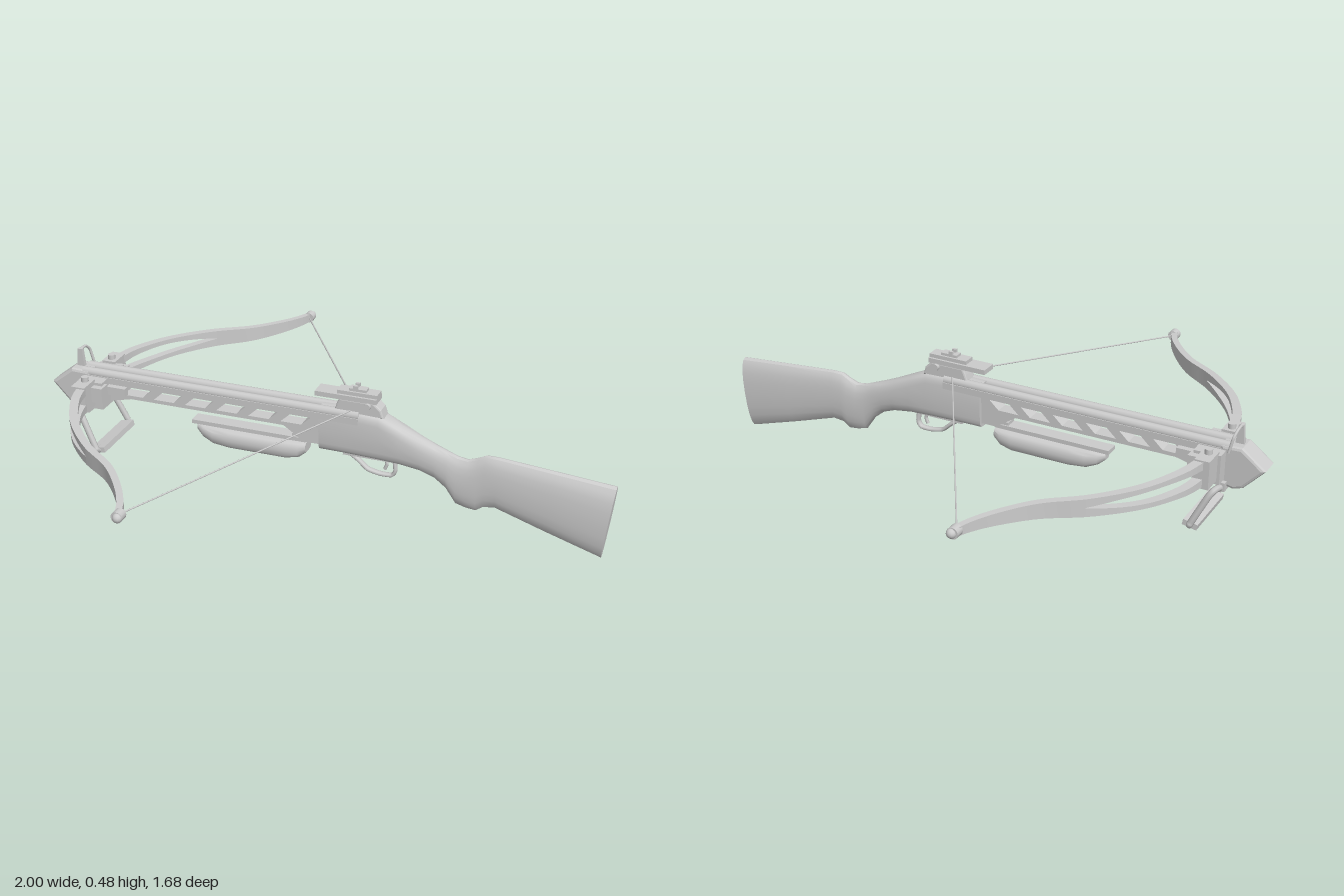
import * as THREE from 'three';
import { toCreasedNormals } from 'three/addons/utils/BufferGeometryUtils.js';

const material = new THREE.MeshStandardMaterial({ color: 0xcccccc, side: THREE.DoubleSide });
const V = (x, y, z) => new THREE.Vector3(x, y, z);

function add(parent, name, geometry, x = 0, y = 0, z = 0) {
  const mesh = new THREE.Mesh(geometry, material);
  mesh.name = name;
  mesh.position.set(x, y, z);
  parent.add(mesh);
  return mesh;
}

// Box given by its limits, centred on z unless told otherwise
function box(parent, name, x0, x1, y0, y1, width, z = 0) {
  return add(parent, name, new THREE.BoxGeometry(x1 - x0, y1 - y0, width), (x0 + x1) / 2, (y0 + y1) / 2, z);
}

// Skin over equal-length rings of points, closed at both ends
function loft(rings, crease = 0.6) {
  const n = rings[0].length, index = [], last = (rings.length - 1) * n;
  for (let i = 0; i < rings.length - 1; i++) {
    for (let j = 0; j < n; j++) {
      const a = i * n + j, b = i * n + (j + 1) % n;
      index.push(a, b, b + n, a, b + n, a + n);
    }
  }
  for (let j = 1; j < n - 1; j++) index.push(0, j + 1, j, last, last + j, last + j + 1);
  const g = new THREE.BufferGeometry().setFromPoints(rings.flat());
  g.setIndex(index);
  return toCreasedNormals(g, crease);
}

// Rounded section across x; power < 1 squares it off, lean shifts the lower edge in x
function section([x, low, high, half, power = 0.7, lean = 0], n = 20) {
  return Array.from({ length: n }, (_, i) => {
    const a = (i / n) * Math.PI * 2, c = Math.cos(a), s = Math.sin(a);
    const cy = Math.sign(c) * Math.abs(c) ** power, sz = Math.sign(s) * Math.abs(s) ** power;
    return V(x + lean * (1 - cy) / 2, (low + high) / 2 + cy * (high - low) / 2, sz * half);
  });
}

// Side outline extruded across z
function plate(points, width, holes = [], bevel = 0) {
  const shape = new THREE.Shape(points.map(p => new THREE.Vector2(...p)));
  holes.forEach(h => shape.holes.push(new THREE.Path(h.map(p => new THREE.Vector2(...p)))));
  const depth = width - 2 * bevel;
  return new THREE.ExtrudeGeometry(shape, {
    depth, bevelEnabled: bevel > 0, bevelSize: bevel, bevelThickness: bevel, bevelOffset: -bevel, bevelSegments: 2,
  }).translate(0, 0, -depth / 2);
}

function tube(points, radius, sides = 8, tension = 0.3) {
  const curve = new THREE.CatmullRomCurve3(points, false, 'catmullrom', tension);
  return new THREE.TubeGeometry(curve, points.length * 6, radius, sides);
}

// Limb band: follows the bow curve between two height rules, in local y
function limbBand(curve, z0, z1, low, high) {
  const rings = [];
  for (let i = 0; i <= 20; i++) {
    const z = THREE.MathUtils.lerp(z0, z1, i / 20), t = (z - 0.09) / 0.73;
    const p = curve(z), q = curve(z + 0.005);
    const dx = (q - p) / 0.005, len = Math.hypot(dx, 1);
    const th = 0.016 - 0.006 * t, nx = th / len, nz = -dx * th / len;
    rings.push([[1, low], [1, high], [-1, high], [-1, low]].map(([s, f]) => V(p + s * nx, f(z), z + s * nz)));
  }
  return loft(rings, 0.5);
}

// Straight interpolation through [position, value] pairs, eased into a curve
function rule(pairs) {
  const pts = pairs.map(([z, v]) => new THREE.Vector2(z, v));
  const line = new THREE.SplineCurve(pts).getPoints(160);
  return z => {
    let i = line.findIndex(p => p.x >= z);
    if (i < 0) i = line.length - 1;
    i = Math.max(1, i);
    const a = line[i - 1], b = line[i];
    return a.y + (b.y - a.y) * (z - a.x) / (b.x - a.x);
  };
}

export function createModel() {
  const model = new THREE.Group();
  model.name = 'crossbow';

  // Stock: receiver, wrist, pistol grip and butt
  add(model, 'stock', loft([
    [0, 0.235, 0.395, 0.036, 0.4], [0.1, 0.235, 0.397, 0.039, 0.4], [0.21, 0.232, 0.393, 0.043, 0.45],
    [0.28, 0.225, 0.362, 0.041, 0.6], [0.35, 0.212, 0.33, 0.036, 0.75], [0.4, 0.192, 0.31, 0.031, 0.85],
    [0.44, 0.16, 0.295, 0.028, 0.85], [0.475, 0.108, 0.282, 0.027, 0.85], [0.51, 0.098, 0.277, 0.027, 0.85],
    [0.545, 0.094, 0.29, 0.027, 0.85], [0.57, 0.112, 0.303, 0.027, 0.85], [0.61, 0.117, 0.303, 0.028, 0.85],
    [0.8, 0.06, 0.287, 0.032, 0.85, -0.015], [1, 0.003, 0.27, 0.036, 0.85, -0.03],
  ].map(r => section(r))));

  // Barrel: flat bed with two round rails and a groove between
  box(model, 'barrelBed', -0.88, 0.14, 0.355, 0.378, 0.082);
  for (const s of [-1, 1]) {
    const rail = add(model, 'barrelRail', new THREE.CylinderGeometry(0.016, 0.016, 1.02, 12).rotateZ(Math.PI / 2), -0.37, 0.382, s * 0.023);
    rail.scale.y = 1.1;
  }

  // Fore-end frame with slanted windows
  const windows = [];
  for (let i = 0; i < 6; i++) {
    const x = -0.73 + i * 0.118;
    windows.push([[x, 0.315], [x + 0.075, 0.315], [x + 0.115, 0.352], [x + 0.04, 0.352]]);
  }
  add(model, 'foreEndFrame', plate([
    [-0.9, 0.36], [-0.9, 0.25], [-0.83, 0.25], [-0.77, 0.285], [-0.7, 0.302], [-0.13, 0.302],
    [-0.07, 0.262], [0.01, 0.25], [0.01, 0.36],
  ], 0.05, windows));

  // Foregrip hanging below, with its mounting strip
  add(model, 'foregrip', loft([
    [-0.455, 0.222, 0.246, 0.016], [-0.43, 0.2, 0.247, 0.03], [-0.39, 0.182, 0.247, 0.039],
    [-0.33, 0.176, 0.247, 0.043], [-0.12, 0.176, 0.247, 0.043], [-0.075, 0.187, 0.247, 0.039], [-0.05, 0.208, 0.246, 0.03],
  ].map(r => section(r, 16))));
  box(model, 'foregripStrip', -0.47, -0.05, 0.25, 0.264, 0.05);
  box(model, 'foregripNeck', -0.4, -0.08, 0.24, 0.253, 0.035);
  box(model, 'foregripMount', -0.1, 0.02, 0.25, 0.275, 0.04);

  // Pointed nose
  add(model, 'nose', plate([
    [-1, 0.33], [-0.93, 0.255], [-0.9, 0.245], [-0.85, 0.255], [-0.85, 0.39], [-0.92, 0.392],
  ], 0.084, [], 0.01));
  // Front sight post and its curved guard
  add(model, 'frontSight', plate([[-0.915, 0.385], [-0.885, 0.385], [-0.892, 0.455], [-0.908, 0.455]], 0.014));
  add(model, 'frontSightGuard', tube([V(-0.9, 0.452, 0), V(-0.9, 0.45, -0.035), V(-0.895, 0.43, -0.055), V(-0.885, 0.38, -0.062)], 0.005));

  // Riser holding the limbs
  box(model, 'riserCore', -0.87, -0.78, 0.275, 0.375, 0.17);
  for (const s of [-1, 1]) {
    box(model, 'limbPocket', -0.86, -0.81, 0.287, 0.383, 0.08, s * 0.115);
    box(model, 'limbClamp', -0.82, -0.77, 0.31, 0.365, 0.045, s * 0.085);
    box(model, 'riserBrace', -0.8, -0.71, 0.32, 0.35, 0.025, s * 0.04);
    add(model, 'limbBolt', new THREE.CylinderGeometry(0.013, 0.013, 0.02, 12), -0.835, 0.39, s * 0.1);
  }

  // Recurved limbs, split into two bands near the riser
  const sweep = rule([[0.08, -0.835], [0.15, -0.825], [0.24, -0.8], [0.37, -0.73], [0.49, -0.62], [0.58, -0.5], [0.68, -0.415], [0.77, -0.362], [0.84, -0.343]]);
  const height = rule([[0.08, 0.042], [0.2, 0.042], [0.4, 0.034], [0.6, 0.025], [0.84, 0.012]]);
  const slot = rule([[0.08, 0.01], [0.2, 0.019], [0.32, 0.021], [0.42, 0.014], [0.5, 0.001]]);
  for (const s of [1, -1]) {
    const limb = new THREE.Group();
    limb.name = s > 0 ? 'frontLimb' : 'backLimb';
    limb.position.y = 0.335;
    limb.rotation.x = s > 0 ? 0 : Math.PI;
    add(limb, 'upperBand', limbBand(sweep, 0.09, 0.5, slot, height));
    add(limb, 'lowerBand', limbBand(sweep, 0.09, 0.5, z => -height(z), z => -slot(z)));
    add(limb, 'outerLimb', limbBand(sweep, 0.5, 0.82, z => -height(z), height));
    add(limb, 'limbTip', new THREE.CylinderGeometry(0.019, 0.019, 0.03, 12).rotateX(Math.PI / 2), -0.348, 0, 0.808);
    add(limb, 'tipCap', new THREE.SphereGeometry(0.016, 12, 8), -0.345, 0, 0.822);
    model.add(limb);
  }

  // Drawn string
  add(model, 'string', tube([V(-0.35, 0.335, 0.8), V(0.105, 0.398, 0.035), V(0.125, 0.4, 0), V(0.105, 0.398, -0.035), V(-0.35, 0.335, -0.8)], 0.0028, 6, 0));

  // Foot stirrup
  add(model, 'stirrup', tube([
    V(-0.865, 0.25, 0.05), V(-0.862, 0.262, 0.1), V(-0.845, 0.235, 0.112), V(-0.8, 0.14, 0.122), V(-0.795, 0.128, 0.11),
    V(-0.795, 0.128, -0.11), V(-0.8, 0.14, -0.122), V(-0.845, 0.235, -0.112), V(-0.862, 0.262, -0.1), V(-0.865, 0.25, -0.05),
  ], 0.011));
  box(model, 'stirrupTread', -0.82, -0.77, 0.118, 0.138, 0.23).rotation.z = 0.2;
  box(model, 'stirrupMount', -0.88, -0.85, 0.24, 0.27, 0.12);

  // Rear sight and its rail
  add(model, 'sightBase', plate([[0.05, 0.385], [0.225, 0.385], [0.215, 0.415], [0.19, 0.438], [0.07, 0.438], [0.06, 0.415]], 0.056, [], 0.006));
  box(model, 'sightRail', -0.015, 0.2, 0.435, 0.452, 0.06);
  box(model, 'sightBody', 0.06, 0.2, 0.45, 0.465, 0.044);
  box(model, 'sightLeaf', 0.1, 0.16, 0.463, 0.474, 0.03);
  for (const s of [-1, 1]) box(model, 'sightEar', 0.115, 0.13, 0.47, 0.485, 0.01, s * 0.012);
  add(model, 'sightKnob', new THREE.CylinderGeometry(0.012, 0.012, 0.08, 12).rotateX(Math.PI / 2), 0.17, 0.425, 0);

  // Trigger and guard
  add(model, 'triggerGuard', tube([
    V(0.09, 0.235, 0), V(0.13, 0.208, 0), V(0.165, 0.178, 0), V(0.21, 0.168, 0), V(0.25, 0.17, 0), V(0.262, 0.19, 0), V(0.258, 0.23, 0),
  ], 0.007)).scale.z = 1.7;
  box(model, 'triggerPlate', 0.08, 0.27, 0.224, 0.24, 0.03);
  add(model, 'trigger', tube([V(0.222, 0.235, 0), V(0.232, 0.21, 0), V(0.225, 0.188, 0)], 0.006));

  return model;
}
